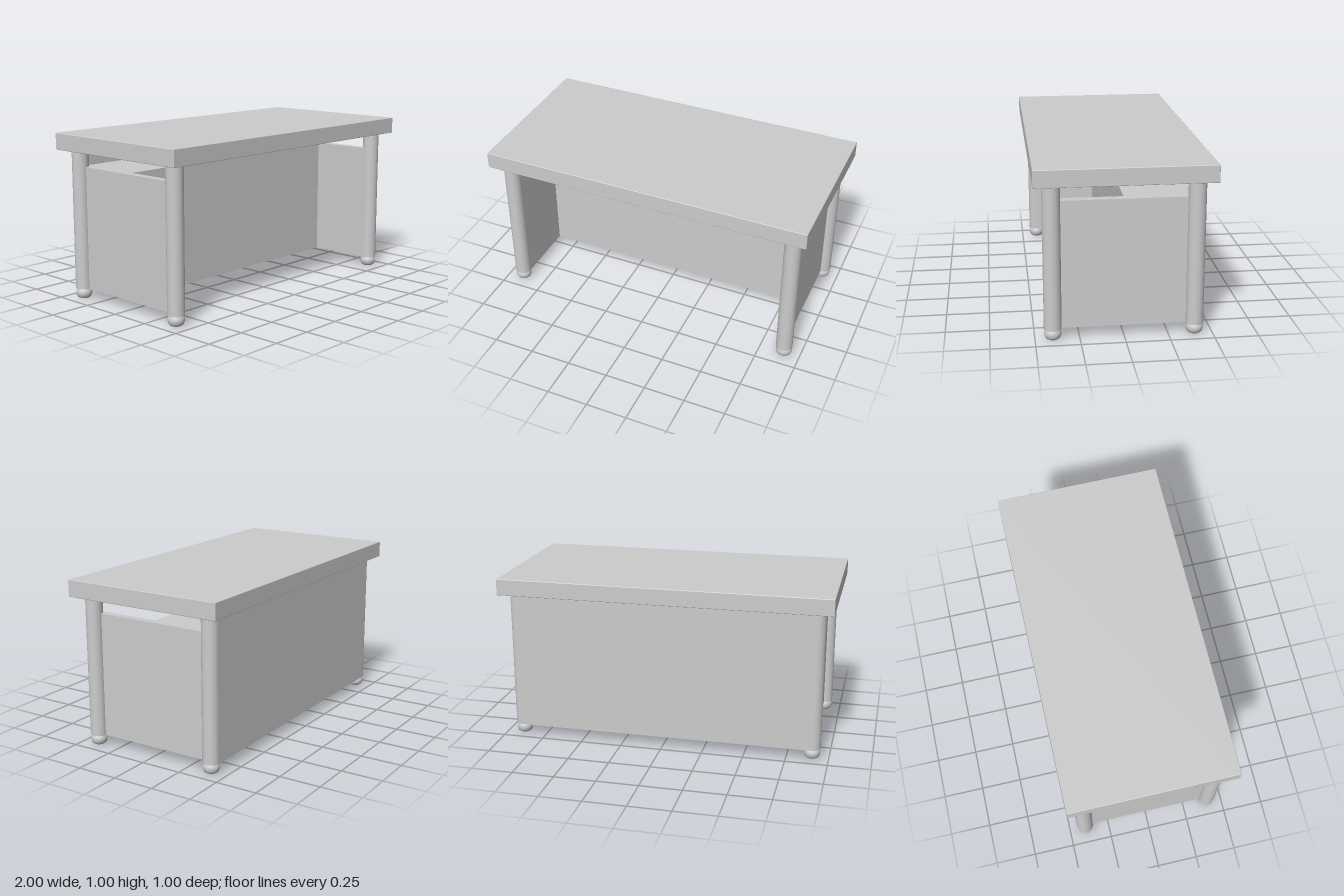
import * as THREE from 'three';
import { RoundedBoxGeometry } from 'three/addons/geometries/RoundedBoxGeometry.js';

export function createModel() {
  const desk = new THREE.Group();
  desk.name = 'desk';

  const grey = new THREE.MeshStandardMaterial({ color: 0xcccccc });
  grey.name = 'light grey';

  const add = (name, geometry, x, y, z) => {
    const mesh = new THREE.Mesh(geometry, grey);
    mesh.name = name;
    mesh.position.set(x, y, z);
    desk.add(mesh);
  };

  // box given by its lower and upper corners
  const addBox = (name, [x0, y0, z0], [x1, y1, z1]) =>
    add(name, new THREE.BoxGeometry(x1 - x0, y1 - y0, z1 - z0),
      (x0 + x1) / 2, (y0 + y1) / 2, (z0 + z1) / 2);

  // table top with finely eased edges
  add('tableTop', new RoundedBoxGeometry(2, 0.1, 1, 2, 0.004), 0, 0.95, 0);

  // back panel up to the table top, and the deep cabinet in front of it
  addBox('backPanel', [-0.9, 0.06, -0.45], [0.9, 0.9, -0.4]);
  addBox('cabinet', [-0.87, 0.06, -0.42], [0.87, 0.8, 0]);

  // flattened ball foot, turned on a lathe
  const footProfile = new THREE.SplineCurve([
    [0.028, 0], [0.041, 0.009], [0.0475, 0.026], [0.0475, 0.041], [0.042, 0.056], [0.038, 0.062],
  ].map(([x, y]) => new THREE.Vector2(x, y))).getPoints(14);
  const footGeometry = new THREE.LatheGeometry([new THREE.Vector2(0, 0), ...footProfile], 32);
  const legGeometry = new THREE.CylinderGeometry(0.05, 0.05, 0.84, 32);

  for (const side of [-1, 1]) {
    const label = side > 0 ? 'left' : 'right';

    // side panel, stopping short of the table top
    add(label + 'SidePanel', new THREE.BoxGeometry(0.05, 0.74, 0.8), side * 0.875, 0.43, 0);

    // front and back legs with their feet
    for (const end of [-1, 1]) {
      const place = label + (end > 0 ? 'Front' : 'Back');
      add(place + 'Leg', legGeometry, side * 0.9, 0.48, end * 0.4);
      add(place + 'Foot', footGeometry, side * 0.9, 0, end * 0.4);
    }
  }
  return desk;
}
